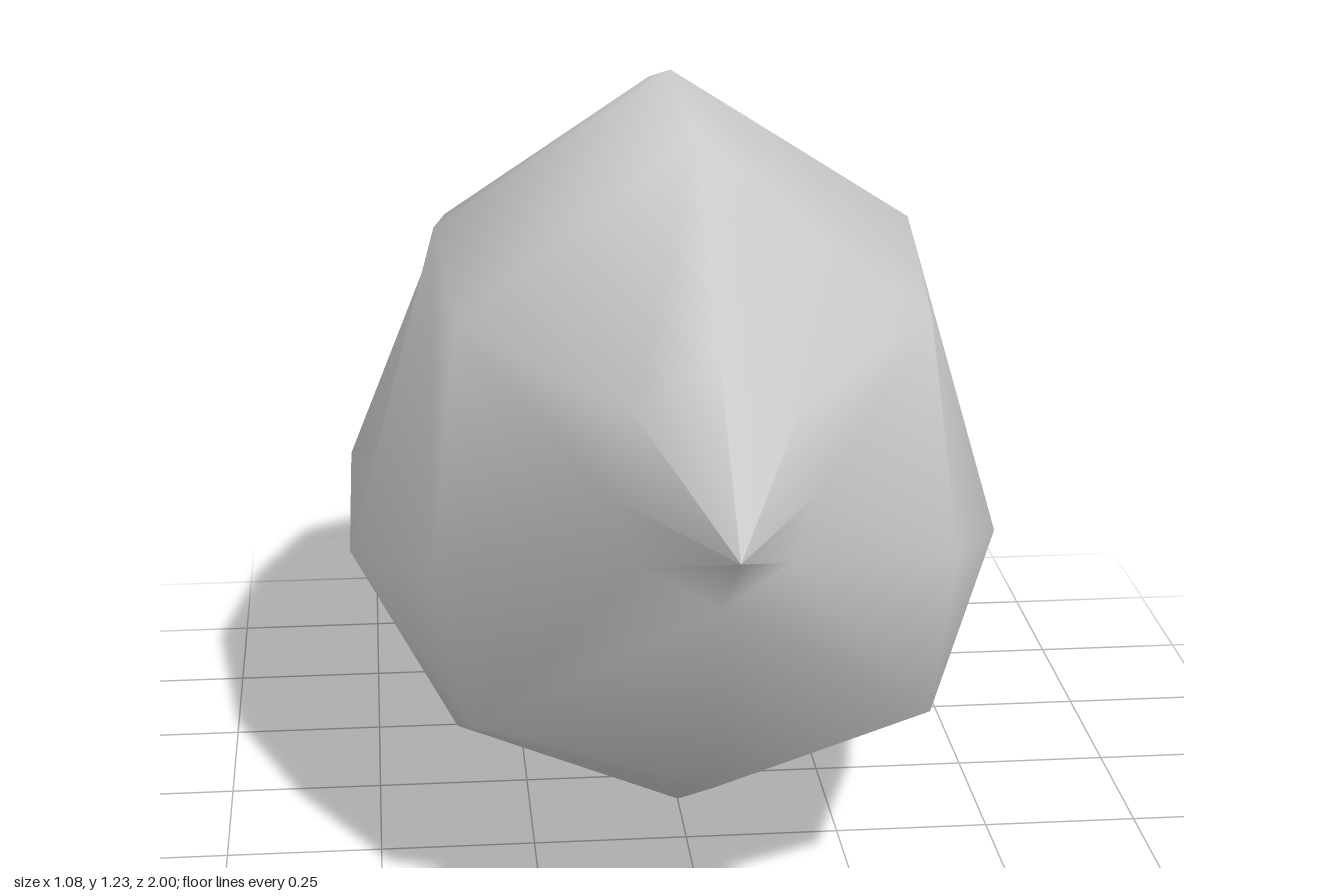
import * as THREE from 'three';

// Half cross-sections from beak to tail: top, upper side, middle side, lower side, bottom
const tip = [0, 0.76, 1];
const sections = [
  [tip, tip, tip, tip, tip],
  [[0, 0.97, 0.72], [0.12, 0.88, 0.7], [0.15, 0.75, 0.69], [0.11, 0.65, 0.71], [0, 0.6, 0.76]],
  [[0, 1.22, 0.41], [0.365, 0.92, 0.37], [0.41, 0.54, 0.41], [0.35, 0.33, 0.53], [0, 0.27, 0.65]],
  [[0, 1.225, -0.03], [0.387, 0.98, 0], [0.538, 0.447, 0.05], [0.368, 0.14, 0.08], [0, 0, 0.1]],
  [[0, 1.13, -0.43], [0.36, 0.9, -0.4], [0.535, 0.48, -0.36], [0.4, 0.18, -0.39], [0, 0.04, -0.38]],
  [[0, 0.94, -0.69], [0.3, 0.83, -0.69], [0.45, 0.58, -0.7], [0.36, 0.38, -0.72], [0, 0.35, -0.77]],
  [[0, 0.66, -1], [0.1, 0.66, -1], [0.19, 0.66, -1], [0.1, 0.66, -1], [0, 0.66, -1]],
];

// Mirrors each half section into a closed ring and skins neighbouring rings
function loft(halves) {
  const positions = [];
  const indices = [];
  const count = 8;
  halves.forEach((half) => {
    const mirrored = half.slice(1, 4).reverse().map(([x, y, z]) => [-x, y, z]);
    [...half, ...mirrored].forEach((p) => positions.push(...p));
  });
  for (let i = 0; i < halves.length - 1; i++) {
    for (let k = 0; k < count; k++) {
      const a = i * count + k;
      const b = i * count + (k + 1) % count;
      const c = a + count;
      const d = b + count;
      // Diagonals are mirrored left to right; the beak needs one triangle per side
      if (i === 0) indices.push(a, d, c);
      else if (k < count / 2) indices.push(a, b, c, b, d, c);
      else indices.push(a, b, d, a, d, c);
    }
  }
  const geometry = new THREE.BufferGeometry();
  geometry.setAttribute('position', new THREE.Float32BufferAttribute(positions, 3));
  geometry.setIndex(indices);
  geometry.computeVertexNormals();
  return geometry;
}

export function createModel() {
  const group = new THREE.Group();
  group.name = 'model';
  // Rounded body with a pointed beak and a flat tail edge
  const body = new THREE.Mesh(
    loft(sections),
    new THREE.MeshStandardMaterial({ color: 0xcccccc })
  );
  body.name = 'body';
  group.add(body);
  return group;
}
